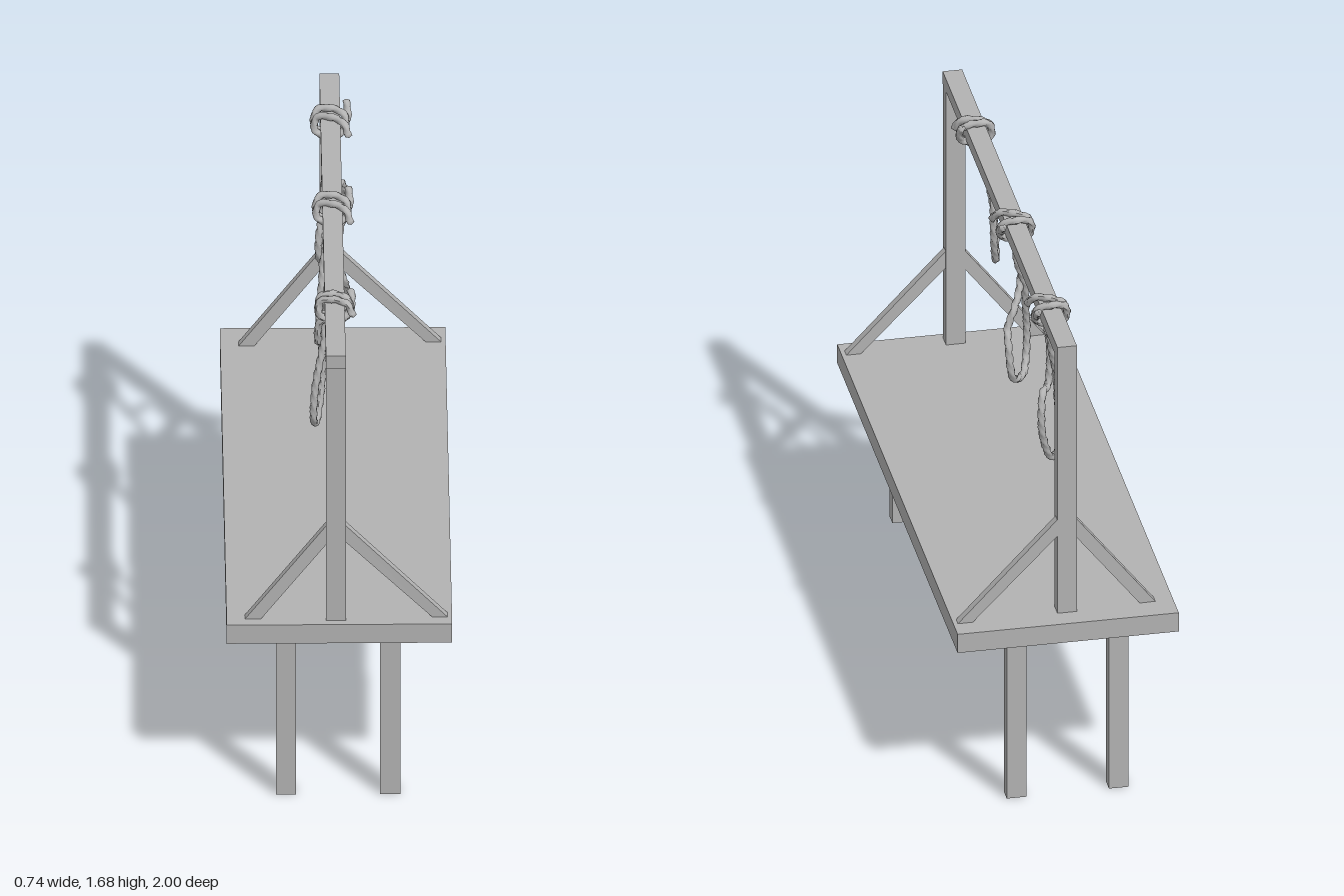
import * as THREE from 'three';

const wood = new THREE.MeshStandardMaterial({ color: 0xb2b2b2 });
wood.name = 'plain grey';

function box(parent, name, x0, x1, y0, y1, z0, z1) {
  const mesh = new THREE.Mesh(new THREE.BoxGeometry(x1 - x0, y1 - y0, z1 - z0), wood);
  mesh.position.set((x0 + x1) / 2, (y0 + y1) / 2, (z0 + z1) / 2);
  mesh.name = name;
  parent.add(mesh);
}

// Slanted brace: outline in the xy plane, sheared a little along z
function brace(parent, name, outline, zFoot, zTop) {
  const shape = new THREE.Shape(outline.map(([x, y]) => new THREE.Vector2(x, y)));
  const geo = new THREE.ExtrudeGeometry(shape, { depth: 0.03, bevelEnabled: false });
  const p = geo.attributes.position;
  for (let i = 0; i < p.count; i++) {
    const t = Math.min(1, Math.abs(p.getX(i)) / 0.33);
    p.setZ(i, p.getZ(i) - 0.015 + zTop + (zFoot - zTop) * t);
  }
  geo.computeVertexNormals();
  const mesh = new THREE.Mesh(geo, wood);
  mesh.name = name;
  parent.add(mesh);
}

// Three-strand twisted rope along a smooth path, closed at both ends
function rope(parent, name, points) {
  const curve = new THREE.CatmullRomCurve3(points.map((q) => new THREE.Vector3(...q)), false, 'centripetal');
  const length = curve.getLength();
  const segs = Math.round(length / 0.006);
  const sides = 12;
  const geo = new THREE.TubeGeometry(curve, segs, 0.0115, sides, false);
  const p = geo.attributes.position;
  const v = new THREE.Vector3();
  for (let i = 0; i <= segs; i++) {
    const c = curve.getPointAt(i / segs);
    const end = i === 0 || i === segs;
    for (let j = 0; j <= sides; j++) {
      const k = i * (sides + 1) + j;
      const lobe = 1 + 0.2 * Math.cos(3 * (j / sides) * Math.PI * 2 - (i / segs) * length * 150);
      v.fromBufferAttribute(p, k).sub(c).multiplyScalar(end ? 0 : lobe).add(c);
      p.setXYZ(k, v.x, v.y, v.z);
    }
  }
  geo.computeVertexNormals();
  const mesh = new THREE.Mesh(geo, wood);
  mesh.name = name;
  parent.add(mesh);
}

// Hanging loop with its two strands, as [x, y, z]
const loops = [
  [[-0.02, 1.59, 0.605], [-0.06, 1.56, 0.6], [-0.065, 1.48, 0.58], [-0.06, 1.46, 0.525], [-0.05, 1.39, 0.49],
    [-0.055, 1.25, 0.5], [-0.07, 1.165, 0.55], [-0.08, 1.2, 0.605], [-0.075, 1.32, 0.61], [-0.05, 1.46, 0.585],
    [-0.04, 1.54, 0.57], [-0.02, 1.59, 0.56]],
  [[-0.01, 1.59, -0.035], [-0.03, 1.5, -0.06], [-0.02, 1.41, -0.09], [0.01, 1.35, -0.135], [0.03, 1.3, -0.145],
    [0.035, 1.25, -0.182], [0.02, 1.13, -0.18], [-0.03, 1.095, -0.1], [-0.05, 1.13, -0.05], [-0.055, 1.24, -0.04],
    [-0.045, 1.345, -0.065], [-0.04, 1.42, -0.085], [-0.01, 1.52, -0.105], [0, 1.6, -0.118]],
  [[0, 1.59, -0.635], [-0.01, 1.48, -0.645], [0, 1.36, -0.66], [0.025, 1.36, -0.705], [0.035, 1.31, -0.73],
    [0.03, 1.21, -0.725], [-0.01, 1.1, -0.68], [-0.045, 1.115, -0.63], [-0.05, 1.19, -0.62], [-0.035, 1.3, -0.648],
    [-0.03, 1.4, -0.655], [-0.01, 1.5, -0.675], [0, 1.6, -0.692]],
];

// Wrap around the beam: tail, two turns, tail
const wrap = [
  [0.05, 1.61, 0.09], [0.03, 1.65, 0.06], [-0.02, 1.658, 0.03], [-0.058, 1.645, 0.015], [-0.06, 1.6, 0.025],
  [-0.02, 1.587, 0.03], [0.03, 1.595, 0.02], [0.036, 1.64, -0.005], [0, 1.66, -0.02], [-0.055, 1.655, -0.02],
  [-0.062, 1.6, 0], [-0.02, 1.585, -0.01], [0.03, 1.595, 0], [0.046, 1.63, -0.03], [0.04, 1.668, -0.07],
];

export function createModel() {
  const model = new THREE.Group();
  model.name = 'scaffold';

  // Platform and its four legs
  box(model, 'platform', -0.37, 0.37, 0.58, 0.65, -1, 1);
  for (const [z0, z1] of [[0.927, 0.978], [-0.972, -0.922]]) {
    box(model, 'leg', -0.208, -0.142, 0, 0.58, z0, z1);
    box(model, 'leg', 0.134, 0.2, 0, 0.58, z0, z1);
  }

  // Upright posts and crossbeam
  box(model, 'frontPost', -0.044, 0.021, 0.65, 1.6, 0.925, 0.973);
  box(model, 'backPost', -0.044, 0.021, 0.65, 1.6, -0.925, -0.875);
  box(model, 'crossbeam', -0.044, 0.021, 1.6, 1.647, -0.925, 0.98);

  // Diagonal braces on both sides of each post
  const right = [[-0.31, 0.65], [-0.257, 0.65], [-0.04, 0.93], [-0.04, 1.0]];
  const left = [[0.305, 0.65], [0.355, 0.65], [0.02, 1.0], [0.02, 0.938]];
  brace(model, 'frontRightBrace', right, 0.946, 0.94);
  brace(model, 'frontLeftBrace', left, 0.937, 0.945);
  brace(model, 'backRightBrace', right, -0.893, -0.906);
  brace(model, 'backLeftBrace', left, -0.915, -0.907);

  // Three ropes tied over the beam; the front knot is tighter
  const knots = [[0.6, 0.6], [-0.06, 1], [-0.645, 1]];
  knots.forEach(([z, spread], i) => {
    const group = new THREE.Group();
    group.name = 'hangingRope' + (i + 1);
    rope(group, 'ropeLoop', loops[i]);
    rope(group, 'ropeKnot', wrap.map(([x, y, dz]) => [x, y, z + dz * spread]));
    model.add(group);
  });

  return model;
}
